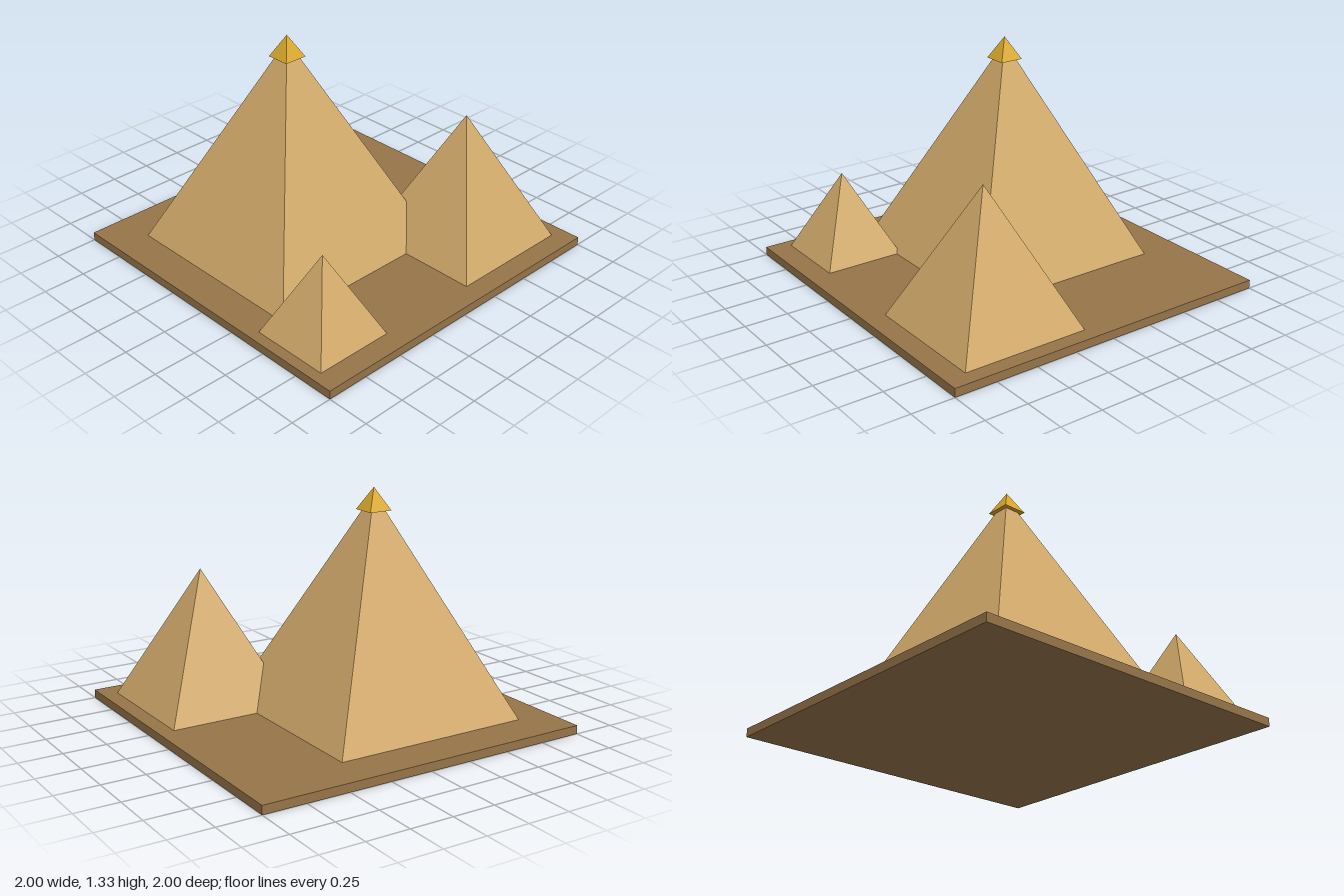
import * as THREE from 'three';

const sandstone = new THREE.MeshStandardMaterial({ color: 0xd2aa6a });
sandstone.name = 'sandstone';
const earth = new THREE.MeshStandardMaterial({ color: 0x967449 });
earth.name = 'earth';
const gold = new THREE.MeshStandardMaterial({ color: 0xdaa82c });
gold.name = 'gold';

// Square pyramid with its sides along x and z, standing on the given height
function pyramid(name, material, halfWidth, height, x, y, z) {
  const geometry = new THREE.ConeGeometry(halfWidth * Math.SQRT2, height, 4, 1)
    .rotateY(Math.PI / 4)
    .translate(0, height / 2, 0)
    .toNonIndexed();
  geometry.computeVertexNormals();
  const mesh = new THREE.Mesh(geometry, material);
  mesh.name = name;
  mesh.position.set(x, y, z);
  return mesh;
}

export function createModel() {
  const group = new THREE.Group();
  group.name = 'pyramids';

  // Ground slab
  const ground = 0.05;
  const slab = new THREE.Mesh(new THREE.BoxGeometry(2, ground, 2), earth);
  slab.name = 'groundSlab';
  slab.position.y = ground / 2;
  group.add(slab);

  // Three pyramids and the overhanging gold tip of the largest
  group.add(
    pyramid('largePyramid', sandstone, 0.589, 1.25, -0.2, ground, -0.167),
    pyramid('mediumPyramid', sandstone, 0.377, 0.783, 0.532, ground, 0.5),
    pyramid('smallPyramid', sandstone, 0.236, 0.483, -0.7, ground, 0.633),
    pyramid('capstone', gold, 0.07, 0.127, -0.2, 1.205, -0.167),
  );
  return group;
}
